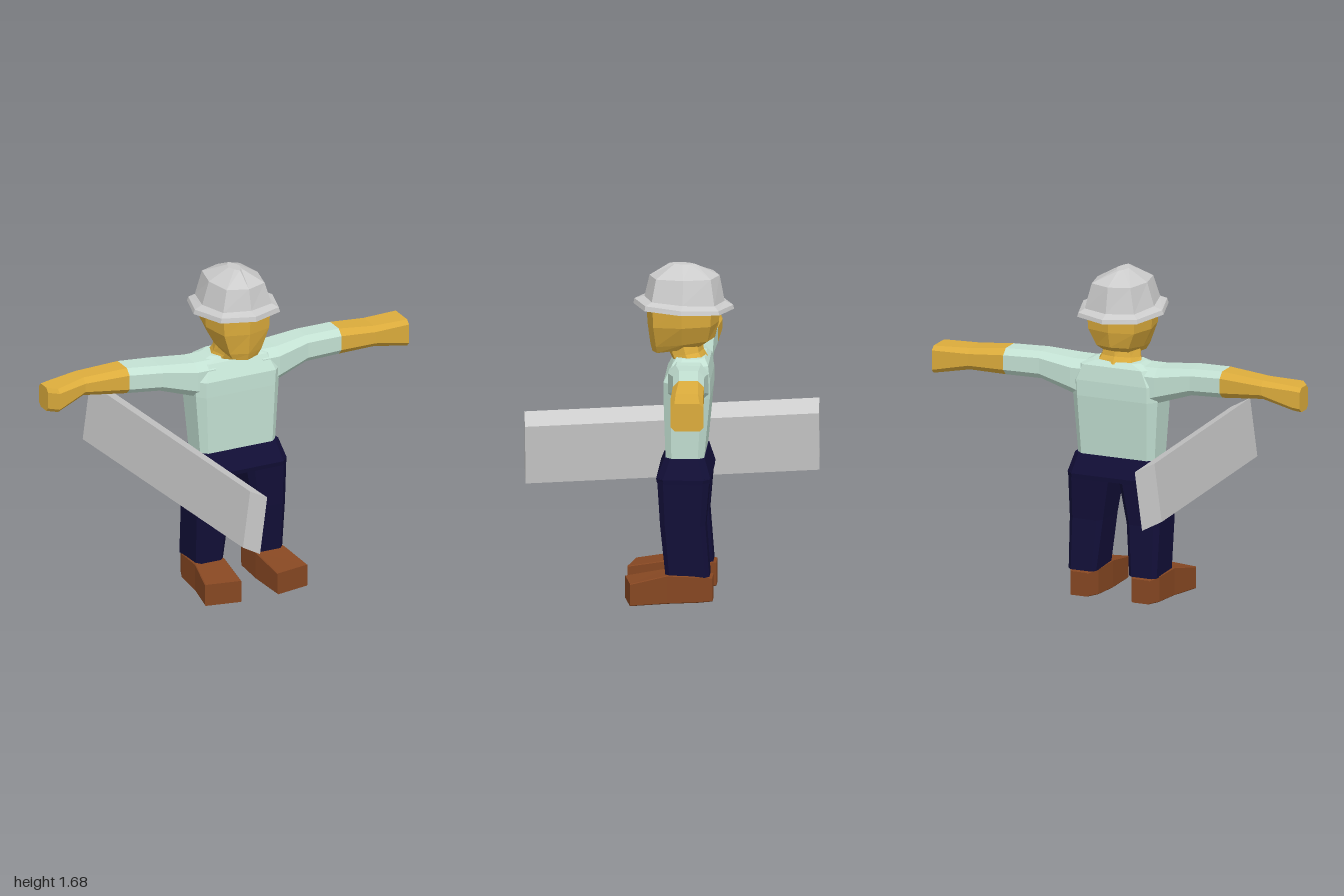
import * as THREE from 'three';

const GREY = 0xcccccc, SKIN = 0xdcac3c, SHIRT = 0xc4e2d4, NAVY = 0x120f38, BROWN = 0x864722;
const MID = 0.02; // the figure's own centre line

// Chamfered rectangle (8 corners) in 2D
function rect(u0, u1, v0, v1, c) {
  return [[u0 + c, v0], [u1 - c, v0], [u1, v0 + c], [u1, v1 - c],
    [u1 - c, v1], [u0 + c, v1], [u0, v1 - c], [u0, v0 + c]];
}
// Cross-sections lying across each axis
const atY = (y, x0, x1, z0, z1, c = 0.03) => rect(x0, x1, z0, z1, c).map(([x, z]) => [x, y, z]);
const atX = (x, y0, y1, z0, z1, c = 0.03) => rect(y0, y1, z0, z1, c).map(([y, z]) => [x, y, z]);
const atZ = (z, x0, x1, y0, y1, c = 0.004) => rect(x0, x1, y0, y1, c).map(([x, y]) => [x, y, z]);

// Eight-sided oval section; k sets how square it is, front and back heights may differ
function oval(yFront, yBack, rx, z0, z1, k = 0.74) {
  const cz = (z0 + z1) / 2, rz = (z1 - z0) / 2, ring = [];
  const dirs = [[0, 1], [k, k], [1, 0], [k, -k], [0, -1], [-k, -k], [-1, 0], [-k, k]];
  for (const [a, b] of dirs) {
    ring.push([MID + rx * a, (yFront + yBack) / 2 + b * (yFront - yBack) / 2, cz + rz * b]);
  }
  return ring;
}

// Flat-shaded solid through a row of sections, closed at both ends
function loft(name, color, rings) {
  const tris = [], n = rings[0].length;
  for (let s = 0; s < rings.length - 1; s++) {
    const a = rings[s], b = rings[s + 1];
    for (let i = 0; i < n; i++) {
      const j = (i + 1) % n;
      tris.push([a[i], a[j], b[j]], [a[i], b[j], b[i]]);
    }
  }
  const cap = (r, flip) => {
    const c = [0, 1, 2].map(k => r.reduce((t, p) => t + p[k], 0) / n);
    for (let i = 0; i < n; i++) {
      const j = (i + 1) % n;
      tris.push(flip ? [c, r[j], r[i]] : [c, r[i], r[j]]);
    }
  };
  cap(rings[0], true);
  cap(rings[rings.length - 1], false);
  // Turn the faces outward if the enclosed volume is negative
  const v = p => new THREE.Vector3(...p);
  const volume = tris.reduce((t, [a, b, c]) => t + v(a).dot(v(b).cross(v(c))), 0);
  if (volume < 0) tris.forEach(t => t.reverse());
  const geometry = new THREE.BufferGeometry();
  geometry.setAttribute('position', new THREE.Float32BufferAttribute(tris.flat(2), 3));
  geometry.computeVertexNormals();
  const mesh = new THREE.Mesh(geometry, new THREE.MeshStandardMaterial({ color, flatShading: true }));
  mesh.name = name;
  return mesh;
}

// Mirror sections across the figure's centre line
const mirror = rings => rings.map(r => r.map(([x, y, z]) => [2 * MID - x, y, z]));

export function createModel() {
  const model = new THREE.Group();
  model.name = 'worker';
  const add = (...args) => model.add(loft(...args));

  // Shirt body
  add('shirt', SHIRT, [
    atY(0.72, -0.19, 0.225, -0.19, 0.0),
    atY(1.04, -0.215, 0.245, -0.22, 0.01, 0.04),
    atY(1.12, -0.215, 0.25, -0.22, 0.01, 0.04),
    atY(1.2, -0.18, 0.22, -0.21, -0.03, 0.04),
    atY(1.225, -0.11, 0.15, -0.19, -0.05),
  ]);

  // Sleeves and bare forearms with hands
  const leftCuff = atX(0.61, 1.09, 1.225, -0.215, -0.06);
  const rightCuff = atX(-0.57, 1.11, 1.245, -0.215, -0.055);
  add('leftSleeve', SHIRT, [
    atX(0.15, 1.0, 1.215, -0.21, -0.015, 0.04), atX(0.245, 1.035, 1.215, -0.215, -0.015, 0.04),
    atX(0.42, 1.09, 1.23, -0.205, -0.05), leftCuff]);
  add('rightSleeve', SHIRT, [
    atX(-0.11, 1.0, 1.215, -0.21, -0.015, 0.04), atX(-0.21, 1.035, 1.215, -0.21, -0.015, 0.04),
    atX(-0.4, 1.1, 1.235, -0.205, -0.03), rightCuff]);
  add('leftForearm', SKIN, [leftCuff,
    atX(0.8, 1.095, 1.205, -0.22, -0.06, 0.025), atX(0.99, 1.06, 1.2, -0.235, -0.07, 0.02)]);
  add('rightForearm', SKIN, [rightCuff,
    atX(-0.8, 1.135, 1.23, -0.225, -0.085, 0.025), atX(-0.96, 1.09, 1.215, -0.205, -0.05, 0.02),
    atX(-1.0, 1.085, 1.21, -0.2, -0.1, 0.02)]);

  // Neck, head and brimmed hat
  add('neck', SKIN, [
    oval(1.19, 1.215, 0.125, -0.2, -0.03),
    oval(1.23, 1.25, 0.105, -0.18, -0.01),
    oval(1.31, 1.31, 0.09, -0.17, 0.02)]);
  add('head', SKIN, [
    oval(1.235, 1.28, 0.085, -0.19, 0.075, 0.8),
    oval(1.27, 1.31, 0.11, -0.235, 0.085, 0.8),
    oval(1.38, 1.39, 0.155, -0.255, 0.1, 0.8),
    oval(1.49, 1.48, 0.162, -0.26, 0.105, 0.8)]);
  add('hat', GREY, [
    oval(1.49, 1.475, 0.165, -0.27, 0.11),
    oval(1.477, 1.455, 0.222, -0.33, 0.17),
    oval(1.502, 1.475, 0.215, -0.325, 0.165),
    oval(1.515, 1.495, 0.172, -0.283, 0.115, 0.78),
    oval(1.622, 1.625, 0.135, -0.258, 0.09, 0.78),
    oval(1.685, 1.68, 0.03, -0.14, -0.01, 0.6)]);

  // Trousers
  add('hips', NAVY, [
    atY(0.735, -0.195, 0.24, -0.195, 0.005),
    atY(0.635, -0.23, 0.27, -0.225, 0.045, 0.035),
    atY(0.612, -0.228, 0.268, -0.222, 0.04, 0.035)]);
  const leg = [
    atY(0.64, 0.045, 0.268, -0.22, 0.04),
    atY(0.4, 0.085, 0.265, -0.2, 0.025, 0.025),
    atY(0.14, 0.11, 0.26, -0.22, -0.002, 0.02)];
  add('leftLeg', NAVY, leg);
  add('rightLeg', NAVY, mirror(leg));

  // Boots, toes turned slightly outward
  const toe = atZ(0, 0.12, 0.305, 0, 0.113)
    .map(([x, y]) => [x, y, 0.205 - (x - 0.12) * 0.19]);
  const boot = [toe,
    atZ(-0.01, 0.105, 0.27, 0.006, 0.15),
    atZ(-0.17, 0.11, 0.262, 0.012, 0.145),
    atZ(-0.235, 0.14, 0.235, 0.013, 0.135)];
  add('leftBoot', BROWN, boot);
  add('rightBoot', BROWN, mirror(boot));

  // Tilted plank beside the right leg
  add('plank', GREY, [
    [[-0.30, 0.84, 0.73], [-0.20, 0.785, 0.72], [-0.24, 0.487, 0.72], [-0.34, 0.545, 0.73]],
    [[-0.45, 0.895, -0.725], [-0.345, 0.84, -0.73], [-0.385, 0.543, -0.73], [-0.49, 0.60, -0.725]],
  ]);
  return model;
}
